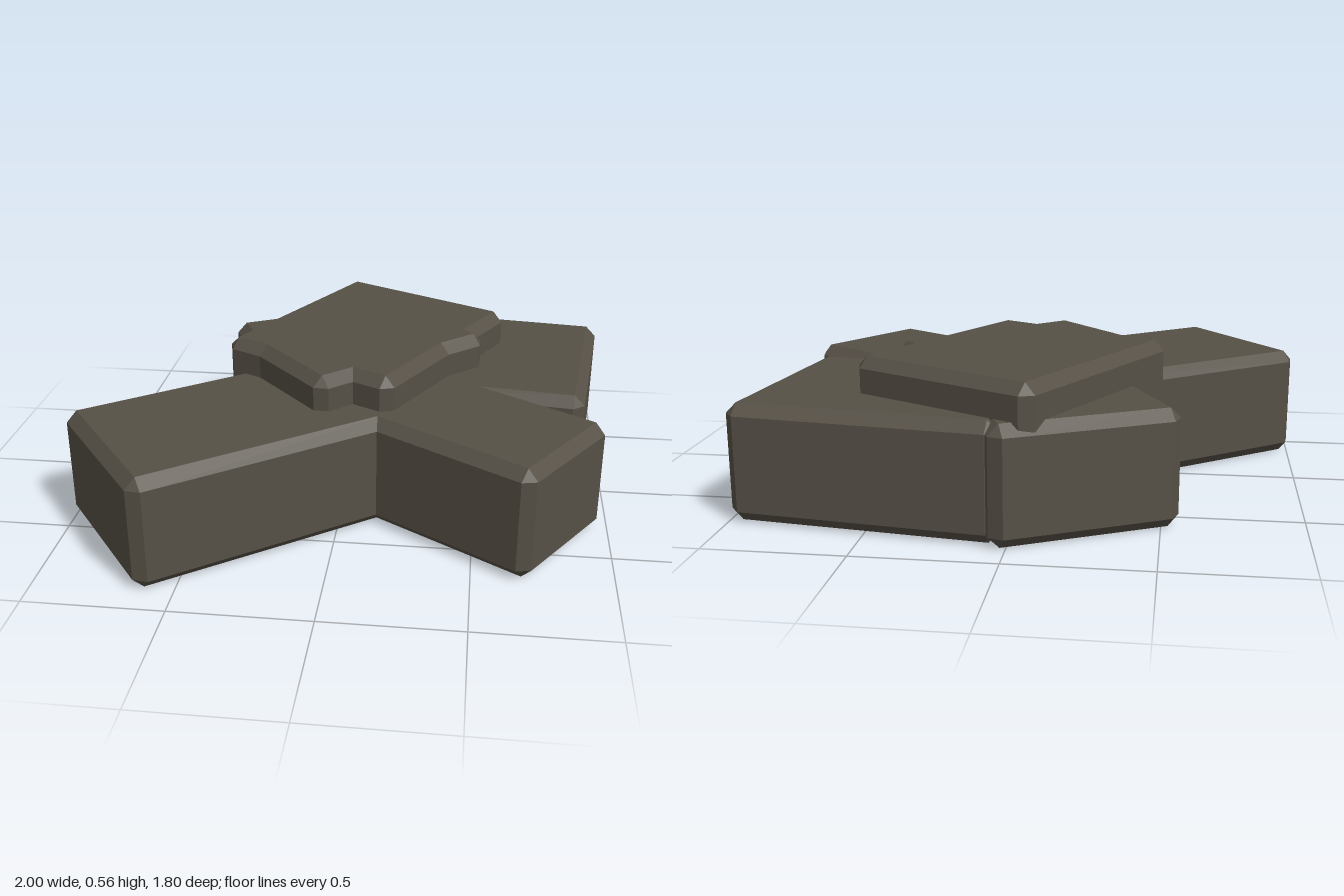
import * as THREE from 'three';
import { ConvexGeometry } from 'three/addons/geometries/ConvexGeometry.js';

const HEIGHT = 0.425; // every block is equally thick
const CHAMFER = 0.04;

// Box with all edges cut at 45 degrees: hull of the six inset faces
function chamferedBox(w, h, d, c) {
  const half = [w / 2, h / 2, d / 2];
  const points = [];
  for (let axis = 0; axis < 3; axis++) {
    for (const sx of [-1, 1]) for (const sy of [-1, 1]) for (const sz of [-1, 1]) {
      const p = [sx, sy, sz].map((s, i) => s * (half[i] - (i === axis ? 0 : c)));
      points.push(new THREE.Vector3(...p));
    }
  }
  return new ConvexGeometry(points);
}

export function createModel() {
  const group = new THREE.Group();
  group.name = 'stoneSlabs';
  const stone = new THREE.MeshStandardMaterial({ color: 0x565046 });
  stone.name = 'darkStone';

  // name, centre x, centre z, base y, width, depth, turn in degrees
  const slabs = [
    // lower layer on the ground
    ['frontRightSlab', -0.38, 0.319, 0, 1.1, 0.68, 36.8],
    ['frontLeftSlab', 0.331, 0.156, 0, 1.2, 0.54, -33],
    ['backLeftSlab', 0.465, -0.395, 0, 0.98, 0.837, -7.1],
    ['backRightSlab', -0.067, -0.363, 0, 0.69, 0.9, 26.7],
    // raised layer, partly sunk into the lower one
    ['largeTopSlab', 0.05, -0.297, 0.13, 0.77, 0.91, -28],
    ['smallTopSlab', 0.043, -0.163, 0.13, 0.81, 0.55, 42],
  ];
  for (const [name, x, z, y, w, d, turn] of slabs) {
    const slab = new THREE.Mesh(chamferedBox(w, HEIGHT, d, CHAMFER), stone);
    slab.name = name;
    slab.position.set(x, y + HEIGHT / 2, z);
    slab.rotation.y = THREE.MathUtils.degToRad(turn);
    group.add(slab);
  }
  return group;
}
